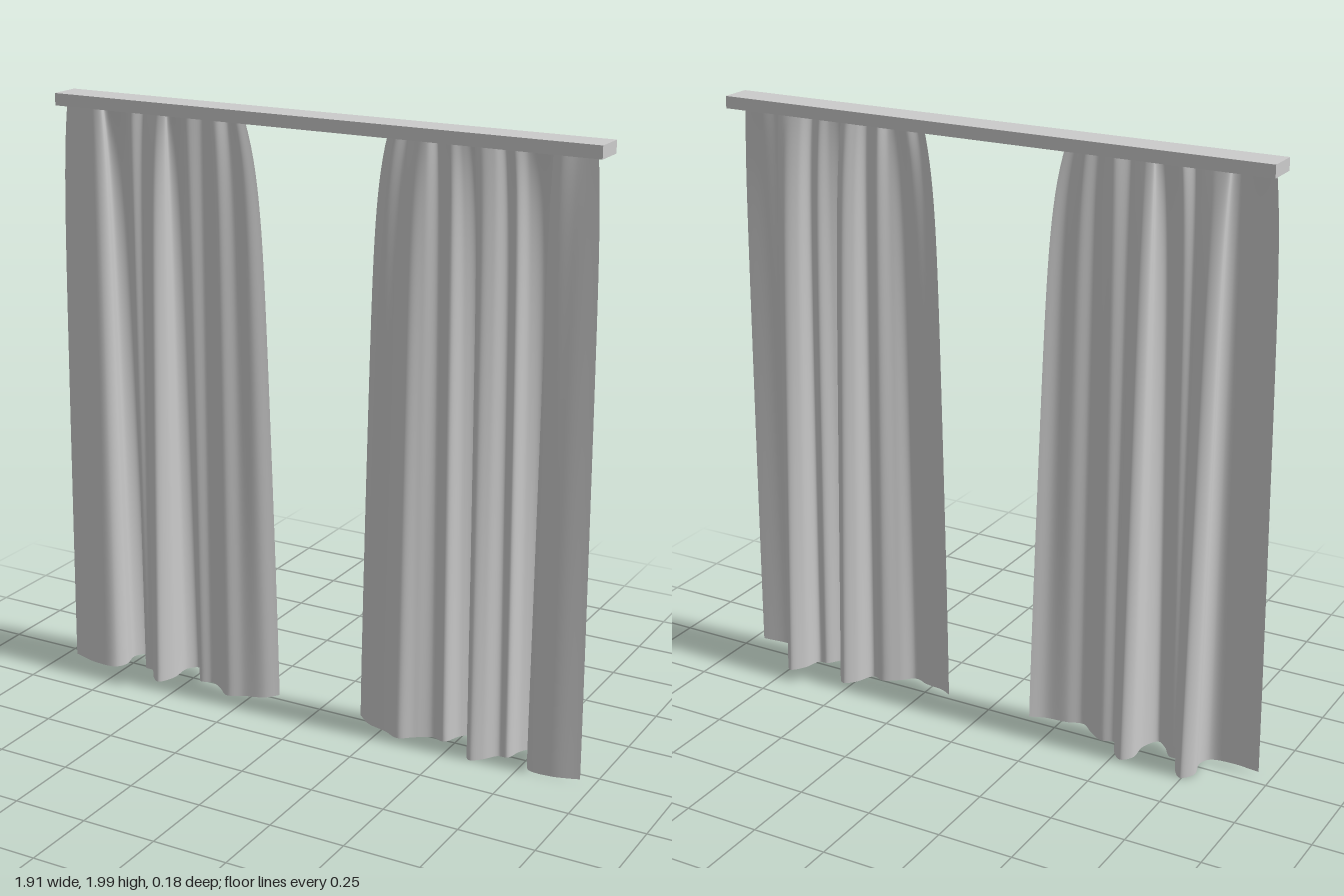
import * as THREE from 'three';

const RAIL_Y = 1.96, RAIL_HALF = 0.945;

// Fold lines from inner to outer edge: [x at hem, z at hem, x at top, z at top]
const FOLDS = [
  [0.155, 0.0, 0.25, 0.03], [0.2, 0.03, 0.28, 0.04], [0.27, 0.045, 0.315, 0.025],
  [0.325, 0.065, 0.35, 0.043], [0.37, 0.03, 0.385, 0.04], [0.42, 0.0, 0.41, 0.018],
  [0.465, 0.01, 0.46, 0.04], [0.495, -0.05, 0.49, 0.025], [0.53, -0.081, 0.52, 0.014],
  [0.56, -0.05, 0.545, 0.02], [0.56, 0.03, 0.537, 0.035], [0.59, 0.085, 0.56, 0.046],
  [0.625, 0.06, 0.6, 0.036], [0.66, 0.015, 0.63, 0.02], [0.69, 0.01, 0.665, 0.042],
  [0.71, -0.05, 0.7, 0.022], [0.745, -0.09, 0.745, 0.014], [0.777, -0.05, 0.785, 0.02],
  [0.765, 0.02, 0.785, 0.035], [0.785, 0.058, 0.81, 0.044], [0.86, 0.067, 0.86, 0.034],
  [0.955, 0.05, 0.92, 0.03],
];

// Sheet swept between the hem path and the gathered top path
function curtainGeometry(side) {
  const path = (ix, iz) => new THREE.CatmullRomCurve3(
    FOLDS.map((f) => new THREE.Vector3(f[ix], 0, f[iz])), false, 'centripetal');
  const hem = path(0, 1), top = path(2, 3);
  const cols = 168, rows = 48, topY = RAIL_Y + 0.01;
  const pos = [], index = [];
  for (let r = 0; r <= rows; r++) {
    const u = r / rows;
    const gather = 0.55 * u ** 1.2 + 0.45 * u ** 12;   // sideways pull towards the rail
    const flatten = 0.65 * u + 0.35 * u ** 10;         // folds become shallower upwards
    for (let c = 0; c <= cols; c++) {
      const t = c / cols;
      const a = hem.getPoint(t), b = top.getPoint(t);
      const lift = (0.016 * (1 - t) ** 12 + 0.01 * t ** 16) * (1 - u);
      pos.push(side * THREE.MathUtils.lerp(a.x, b.x, gather),
        0.005 + u * (topY - 0.005) + lift,
        THREE.MathUtils.lerp(a.z, b.z, flatten));
      if (r < rows && c < cols) {
        const i = r * (cols + 1) + c, j = i + cols + 1;
        if (side > 0) index.push(i, i + 1, j, i + 1, j + 1, j);
        else index.push(i, j, i + 1, i + 1, j, j + 1);
      }
    }
  }
  const geo = new THREE.BufferGeometry();
  geo.setAttribute('position', new THREE.Float32BufferAttribute(pos, 3));
  geo.setIndex(index);
  geo.computeVertexNormals();
  return geo;
}

// Rail section with two tracks open at the bottom; section x is -z
function railGeometry() {
  const s = new THREE.Shape();
  s.moveTo(-0.062, 0);
  for (const z of [0.03, -0.014]) {
    s.lineTo(-z - 0.016, 0);
    s.lineTo(-z - 0.016, 0.024);
    s.lineTo(-z + 0.016, 0.024);
    s.lineTo(-z + 0.016, 0);
  }
  s.lineTo(0.043, 0);
  s.lineTo(0.043, 0.04);
  s.lineTo(-0.062, 0.04);
  s.closePath();
  const length = 2 * (RAIL_HALF - 0.006);
  const geo = new THREE.ExtrudeGeometry(s, { depth: length, bevelEnabled: false });
  geo.translate(0, RAIL_Y, -length / 2);
  return geo.rotateY(Math.PI / 2);
}

export function createModel() {
  const group = new THREE.Group();
  const solid = new THREE.MeshStandardMaterial({ color: 0xcccccc });
  const cloth = new THREE.MeshStandardMaterial({ color: 0xcccccc, side: THREE.DoubleSide });
  const add = (name, geo, mat) => {
    const mesh = new THREE.Mesh(geo, mat);
    mesh.name = name;
    group.add(mesh);
    return mesh;
  };

  add('curtainRail', railGeometry(), solid);
  for (const [side, label] of [[1, 'left'], [-1, 'right']]) {
    // End caps close the tracks
    add(label + 'RailCap', new THREE.BoxGeometry(0.006, 0.04, 0.105), solid)
      .position.set(side * (RAIL_HALF - 0.003), RAIL_Y + 0.02, 0.0095);
    add(label + 'Curtain', curtainGeometry(side), cloth);
  }
  return group;
}
